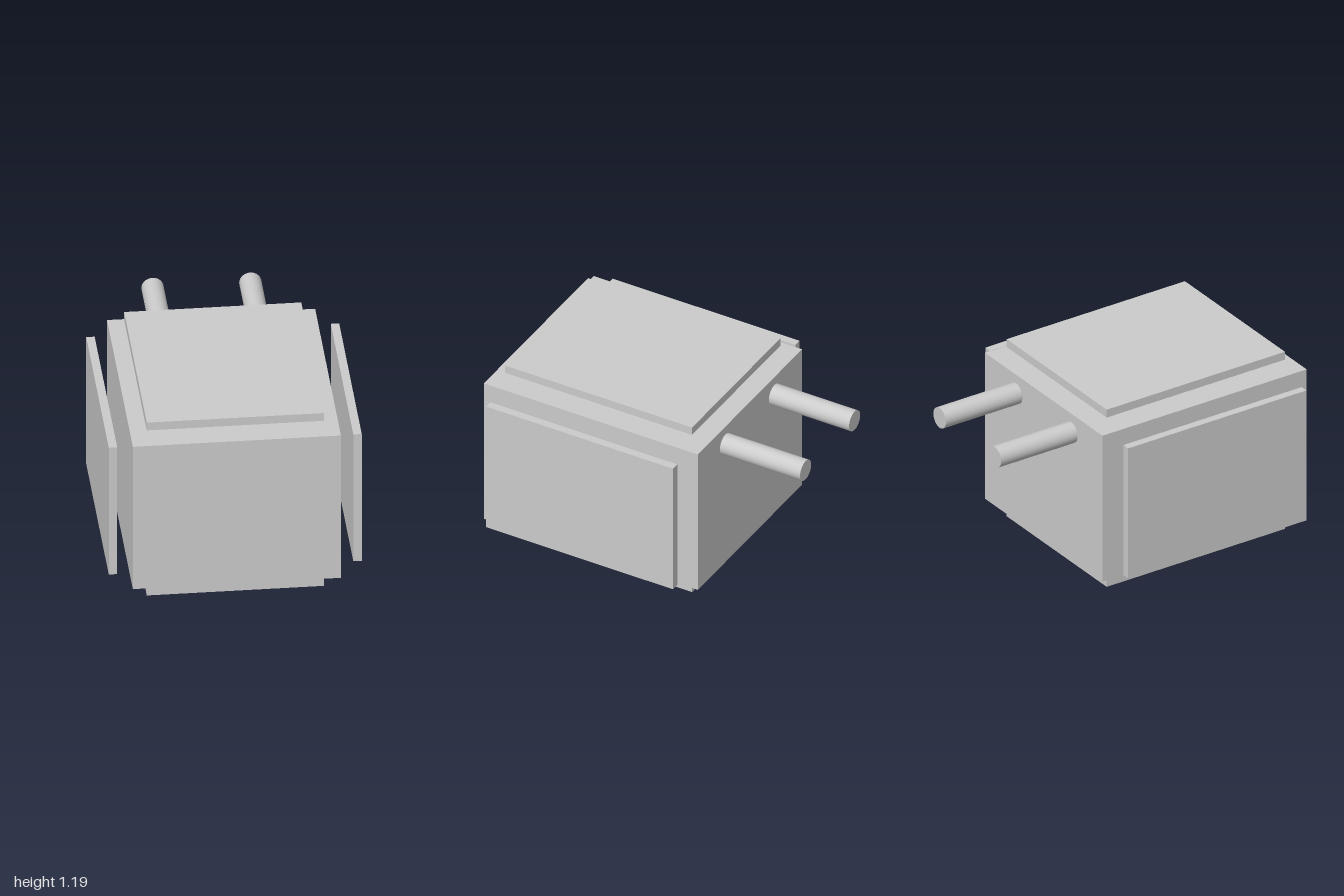
import * as THREE from 'three';

export function createModel() {
  const group = new THREE.Group();
  const material = new THREE.MeshStandardMaterial({ color: 0xcccccc });

  const add = (name, geometry, x, y, z) => {
    const mesh = new THREE.Mesh(geometry, material);
    mesh.name = name;
    mesh.position.set(x, y, z);
    group.add(mesh);
    return mesh;
  };

  const bodyY = 0.595, bodyZ = 0.2725;

  // Main block
  add('body', new THREE.BoxGeometry(1.234, 0.98, 1.455), 0, bodyY, bodyZ);

  // Thin plates standing clear of the top and bottom
  const flatPlate = new THREE.BoxGeometry(1.05, 0.053, 1.27);
  add('topPlate', flatPlate, 0, 1.1635, bodyZ);
  add('bottomPlate', flatPlate, 0, 0.0265, bodyZ);

  // Side plates and rear pipes, mirrored left and right
  const sidePlate = new THREE.BoxGeometry(0.05, 0.873, 1.27);
  const pipe = new THREE.CylinderGeometry(0.066, 0.066, 0.56, 32).rotateX(Math.PI / 2);
  for (const [side, s] of [['left', 1], ['right', -1]]) {
    add(side + 'Plate', sidePlate, s * 0.725, bodyY, bodyZ);
    add(side + 'Pipe', pipe, s * 0.29, 0.962, -0.72);
  }

  return group;
}
